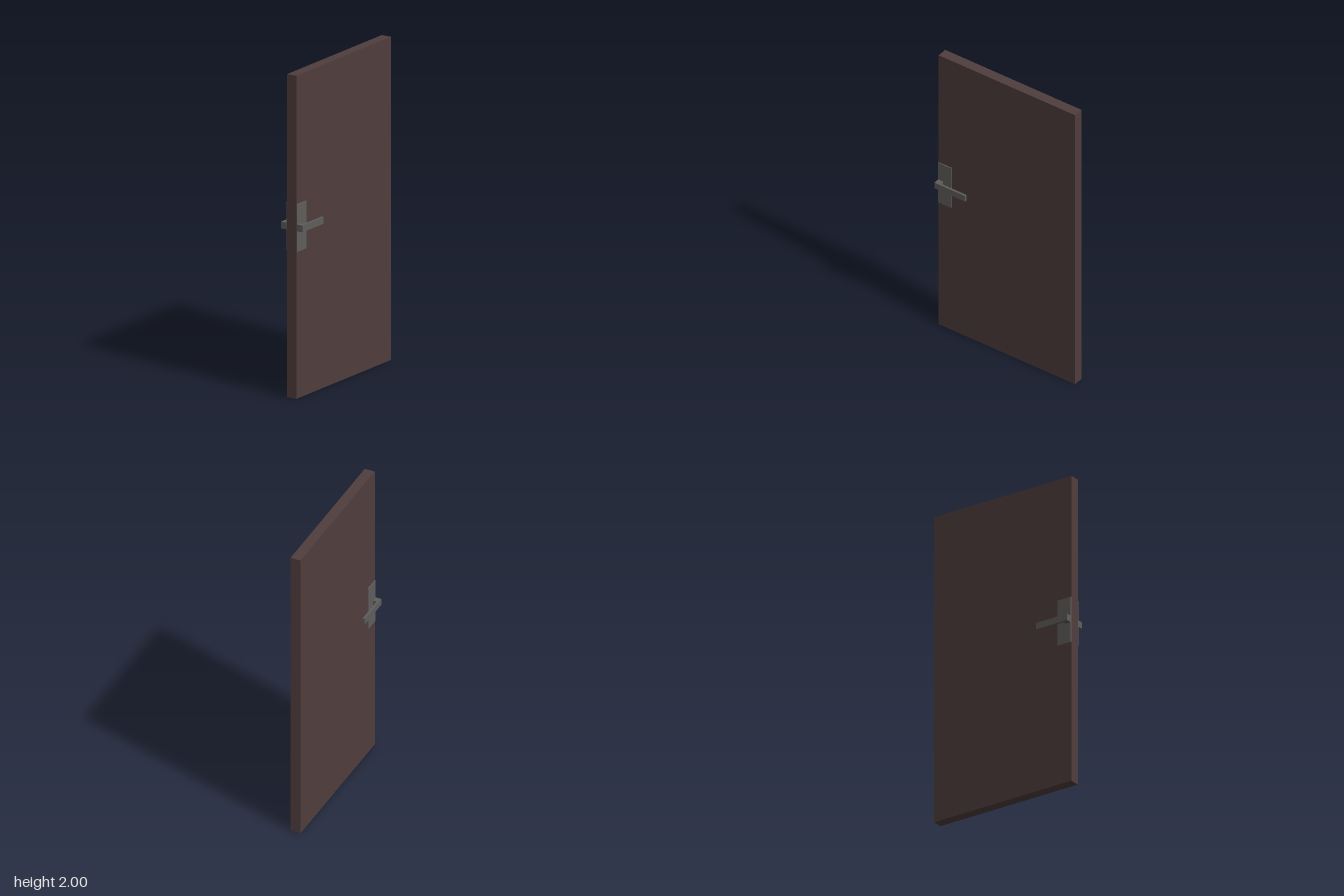
import * as THREE from 'three';

const wood = new THREE.MeshStandardMaterial({ name: 'dark brown wood', color: 0x503d3d });
const metal = new THREE.MeshStandardMaterial({ name: 'grey metal', color: 0x605e5d });

// Box given by its minimum and maximum corners
function box(name, material, [x0, y0, z0], [x1, y1, z1]) {
  const mesh = new THREE.Mesh(new THREE.BoxGeometry(x1 - x0, y1 - y0, z1 - z0), material);
  mesh.position.set((x0 + x1) / 2, (y0 + y1) / 2, (z0 + z1) / 2);
  mesh.name = name;
  return mesh;
}

// L-shaped lever: a stem out of the door and a grip running back along it
function lever() {
  const points = [[0.038, 0.502], [0.077, 0.502], [0.077, 0.277], [0.063, 0.277], [0.063, 0.467], [0.038, 0.467]];
  const outline = new THREE.Shape(points.map(([x, z]) => new THREE.Vector2(x, -z)));
  const geometry = new THREE.ExtrudeGeometry(outline, { depth: 0.042, bevelEnabled: false });
  geometry.rotateX(-Math.PI / 2);
  const mesh = new THREE.Mesh(geometry, metal);
  mesh.position.y = 1.038;
  mesh.name = 'lever';
  return mesh;
}

// Backplate and lever for the +x face
function handle(name) {
  const group = new THREE.Group();
  group.name = name;
  group.add(box('backplate', metal, [0.03, 0.91, 0.405], [0.039, 1.205, 0.5022]), lever());
  return group;
}

export function createModel() {
  const door = new THREE.Group();
  door.name = 'door';
  door.add(box('doorPanel', wood, [-0.033, 0, -0.5025], [0.033, 2, 0.5025]));

  // One handle on each face, mirrored across the panel
  const left = handle('leftHandle');
  const right = handle('rightHandle');
  right.scale.x = -1;
  door.add(left, right);
  return door;
}
